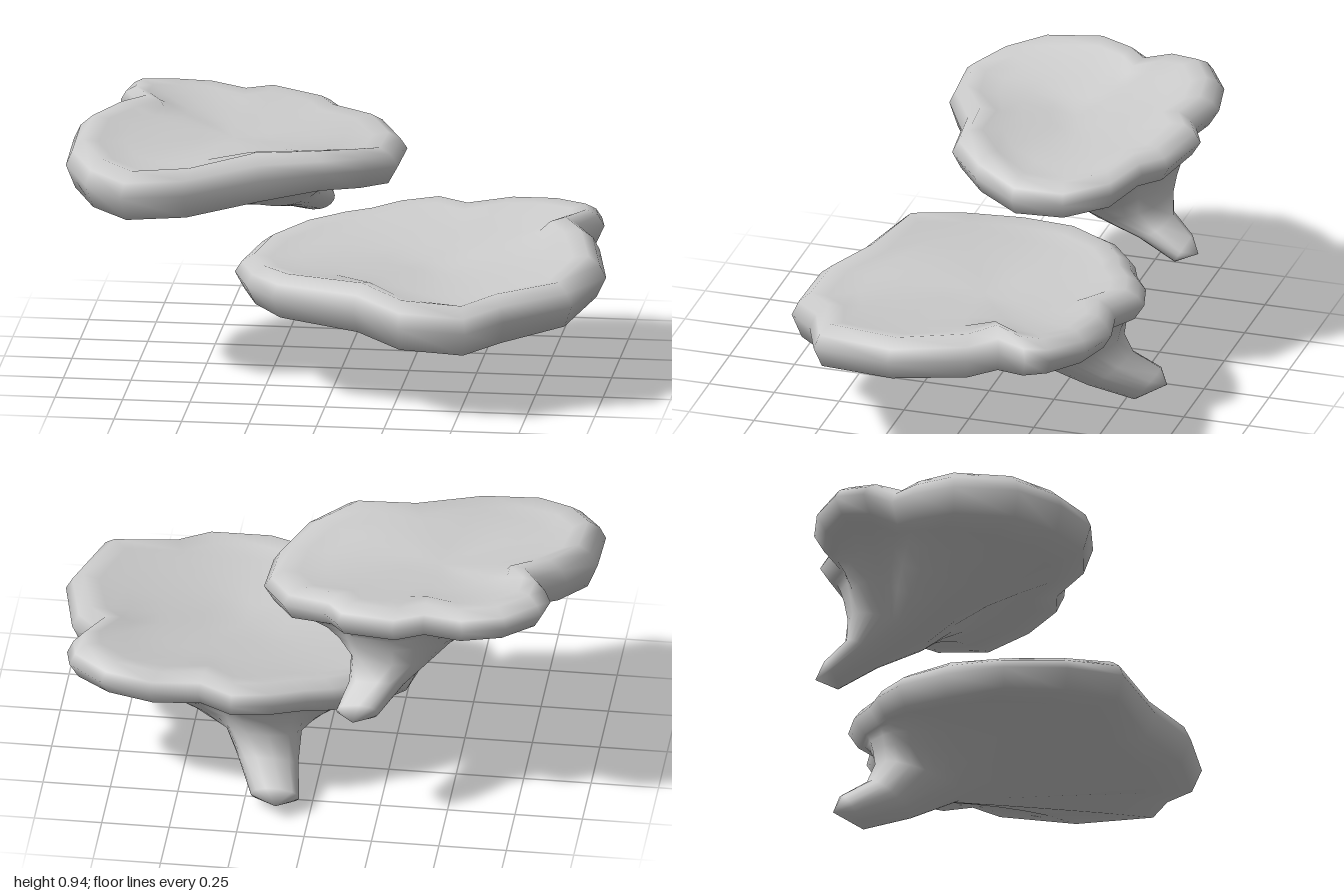
import * as THREE from 'three';

const { lerp, clamp, smoothstep } = THREE.MathUtils;

// One shelf: a lobed cap whose underside funnels into a stubby stem at the back.
// rim: [x, z, y, optional lip thickness] around the cap edge;
// centre: [x, y, z] of the dished top;
// stem rings: [half width, x, frontZ, frontY, backZ, backY].
function buildShelf(name, { rim, centre, stem, tip }) {
  const [cx, cy, cz] = centre;
  const n = rim.length;

  // rim point moved toward the cap centre and raised; the lip thins at the back
  const inset = ([x, z, y, thickness = 1], d, dy) => {
    const k = 1 - d / Math.hypot(x - cx, z - cz);
    const thin = thickness * lerp(0.65, 1, smoothstep(z, -0.55, -0.1));
    return [cx + (x - cx) * k, y + dy * thin, cz + (z - cz) * k];
  };

  // rounded lip
  const lip = [[0.13, 0.076], [0.07, 0.09], [0.025, 0.053], [0, 0], [0.037, -0.09]];
  const rings = lip.map(([d, dy]) => rim.map((p) => inset(p, d, dy)));

  // shallow dish: each ring inward is smoother and closer to the centre
  let ring = rings[0];
  for (const [s, sink] of [[0.85, 0.25], [0.72, 0.35], [0.5, 0.5]]) {
    const outer = ring;
    ring = outer.map((p, i) => {
      const a = outer[(i + n - 1) % n], b = outer[(i + 1) % n];
      const mean = p.map((v, k) => (a[k] + 2 * v + b[k]) / 4);
      return [lerp(cx, mean[0], s), lerp(mean[1], cy, sink), lerp(cz, mean[2], s)];
    });
    rings.unshift(ring);
  }

  // underside sweeping into the neck
  const [, nx, fz, , bz] = stem[0];
  const nz = (fz + bz) / 2;
  const angles = rim.map(([x, z]) => Math.atan2(x - nx, z - nz));
  const stemRing = ([w, x, z0, y0, z1, y1]) => angles.map((a) => {
    const c = (1 + Math.cos(a)) / 2;
    return [x + w * Math.sin(a), lerp(y1, y0, c), lerp(z1, z0, c)];
  });
  const neck = stemRing(stem[0]);
  const edge = rings[rings.length - 1];
  for (const t of [0.2, 0.4, 0.6, 0.8]) {
    rings.push(edge.map((e, i) => {
      const p = neck[i];
      const reach = Math.hypot(e[0] - p[0], e[2] - p[2]);
      const bend = clamp(3.9 - 3.4 * reach, 1.05, 2.8);
      return [lerp(e[0], p[0], t), lerp(e[1], p[1], t ** bend), lerp(e[2], p[2], t)];
    }));
  }

  // stem
  for (const s of stem) rings.push(stemRing(s));

  // skin the rings and close both ends
  const pos = [...rings.flat(2), ...centre, ...tip];
  const top = rings.length * n;
  const last = top - n;
  const index = [];
  for (let i = 0; i < n; i++) {
    const j = (i + 1) % n;
    index.push(top, i, j);
    for (let a = 0; a < last; a += n) {
      const b = a + n;
      index.push(a + i, b + i, b + j, a + i, b + j, a + j);
    }
    index.push(last + i, top + 1, last + j);
  }
  const geo = new THREE.BufferGeometry();
  geo.setAttribute('position', new THREE.Float32BufferAttribute(pos, 3));
  geo.setIndex(index);
  geo.computeVertexNormals();
  const mesh = new THREE.Mesh(geo, new THREE.MeshStandardMaterial({ color: 0xcccccc }));
  mesh.name = name;
  return mesh;
}

export function createModel() {
  const group = new THREE.Group();
  group.name = 'shelfFungus';

  group.add(buildShelf('upperShelf', {
    rim: [
      [-1, -0.06, 0.83], [-1, 0.18, 0.8], [-0.91, 0.33, 0.77], [-0.77, 0.42, 0.75],
      [-0.54, 0.4, 0.76], [-0.27, 0.27, 0.79], [-0.03, 0.23, 0.815, 0.8], [0.11, 0.1, 0.795, 0.8],
      [0.2, -0.07, 0.765, 0.75], [0.21, -0.27, 0.775, 0.8], [0.12, -0.43, 0.8], [-0.04, -0.5, 0.82],
      [-0.1, -0.58, 0.83], [-0.31, -0.64, 0.85], [-0.42, -0.59, 0.85], [-0.57, -0.63, 0.86],
      [-0.73, -0.6, 0.87], [-0.85, -0.52, 0.885], [-0.87, -0.41, 0.88], [-0.82, -0.31, 0.865],
      [-0.91, -0.22, 0.85],
    ],
    centre: [-0.42, 0.835, -0.13],
    stem: [
      [0.15, -0.28, -0.25, 0.54, -0.54, 0.64],
      [0.1, -0.235, -0.43, 0.49, -0.555, 0.57],
      [0.078, -0.18, -0.59, 0.43, -0.64, 0.52],
    ],
    tip: [-0.17, 0.465, -0.675],
  }));

  group.add(buildShelf('lowerShelf', {
    rim: [
      [-0.39, 0.05, 0.375, 0.75], [-0.32, 0.28, 0.39, 0.8], [-0.2, 0.47, 0.405, 0.9], [0.11, 0.55, 0.39],
      [0.29, 0.66, 0.36], [0.54, 0.67, 0.35], [0.67, 0.56, 0.37], [0.91, 0.47, 0.41, 0.9],
      [1, 0.16, 0.435, 0.85], [0.94, -0.13, 0.455, 0.9], [0.87, -0.23, 0.47], [0.93, -0.35, 0.48],
      [0.91, -0.44, 0.485], [0.78, -0.54, 0.48], [0.6, -0.58, 0.47], [0.42, -0.54, 0.455],
      [0.29, -0.61, 0.455], [0.14, -0.57, 0.445], [0.02, -0.5, 0.43], [-0.08, -0.46, 0.42],
      [-0.22, -0.36, 0.4], [-0.34, -0.18, 0.38, 0.9],
    ],
    centre: [0.32, 0.43, 0.0],
    stem: [
      [0.14, 0.2, -0.18, 0.14, -0.5, 0.27],
      [0.11, 0.17, -0.36, 0.06, -0.525, 0.19],
      [0.09, 0.13, -0.53, 0.003, -0.62, 0.12],
    ],
    tip: [0.12, 0.06, -0.645],
  }));

  return group;
}
